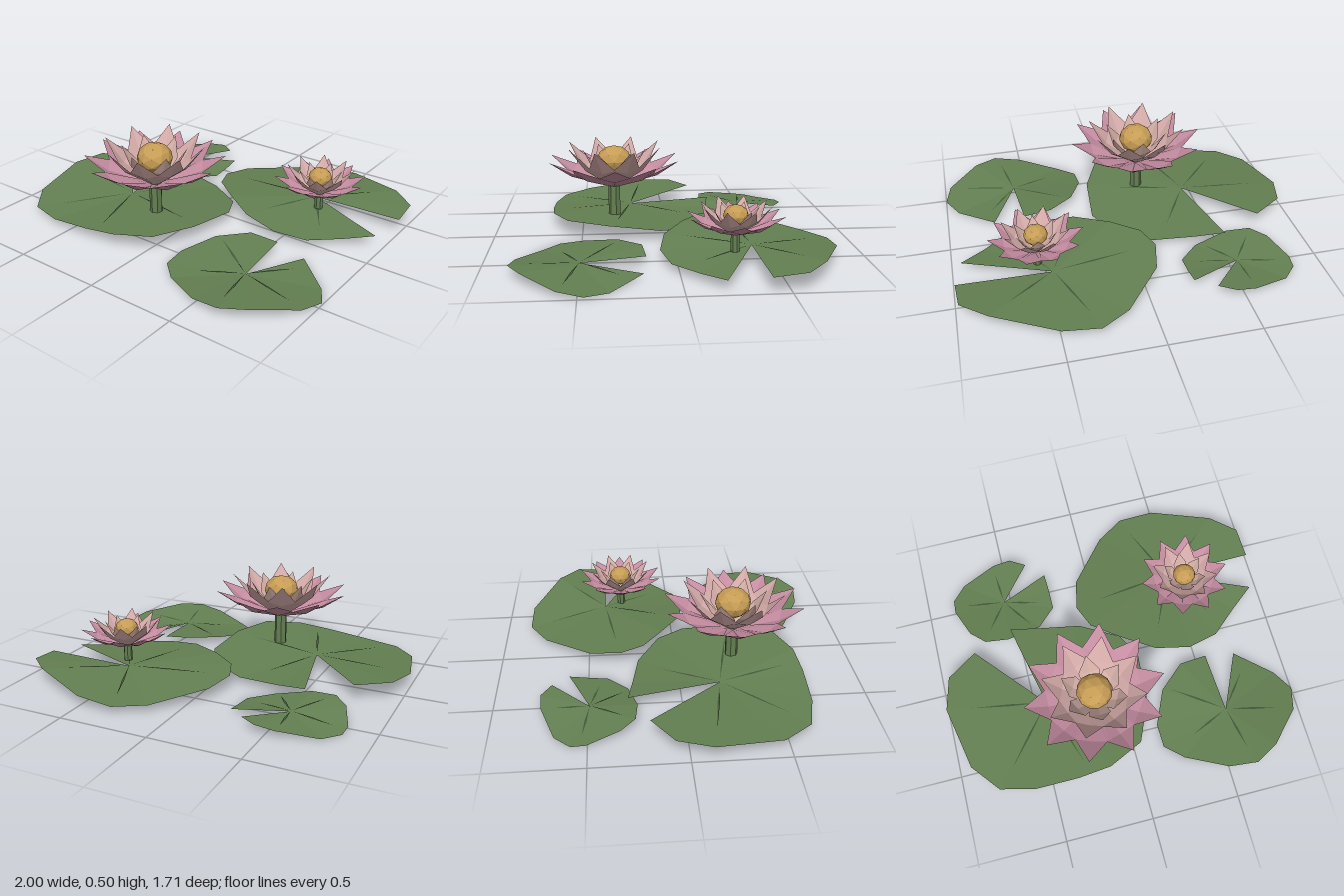
import * as THREE from 'three';

const mat = (name, color) => {
  const m = new THREE.MeshStandardMaterial({ color, flatShading: true, side: THREE.DoubleSide });
  m.name = name;
  return m;
};

function meshFrom(name, points, material) {
  const g = new THREE.BufferGeometry();
  g.setAttribute('position', new THREE.Float32BufferAttribute(points.flat(), 3));
  g.computeVertexNormals();
  const mesh = new THREE.Mesh(g, material);
  mesh.name = name;
  return mesh;
}

// Notched leaf: a fan around the centre whose rim dips and rises twice.
// rim: clockwise [x, z] points; high: angle of a raised side; veins: vein tips
function lilyPad(name, { centre, y, wave, high, rim, veins }, leaf, veinMat) {
  const group = new THREE.Group();
  group.name = name;
  const [cx, cz] = centre;
  const pts = rim.map(([px, pz]) => {
    const a = Math.atan2(pz - cz, px - cx);
    return [px, y + wave * Math.cos(2 * (a - THREE.MathUtils.degToRad(high))), pz];
  });
  const mid = [cx, y, cz];
  const tris = [];
  for (let i = 0; i < pts.length - 1; i++) tris.push(mid, pts[i + 1], pts[i]);
  group.add(meshFrom(name + 'Leaf', tris, leaf));

  // leaf height under a point
  const heightAt = (x, z) => {
    const dx = x - cx, dz = z - cz;
    for (let i = 0; i < pts.length - 1; i++) {
      const ax = pts[i][0] - cx, az = pts[i][2] - cz;
      const bx = pts[i + 1][0] - cx, bz = pts[i + 1][2] - cz;
      const det = ax * bz - az * bx;
      const s = (dx * bz - dz * bx) / det, t = (ax * dz - az * dx) / det;
      if (s >= -1e-6 && t >= -1e-6) return y + s * (pts[i][1] - y) + t * (pts[i + 1][1] - y);
    }
    return y;
  };

  // slender veins tapering at both ends
  const veinTris = [];
  for (const [tx, tz] of veins) {
    const dx = tx - cx, dz = tz - cz, len = Math.hypot(dx, dz);
    const at = (t, w) => {
      const x = cx + dx * t - (dz / len) * w, z = cz + dz * t + (dx / len) * w;
      return [x, heightAt(x, z) + 0.004, z];
    };
    const w = 0.006, a = at(0.04, 0), l = at(0.5, w), r = at(0.5, -w), e = at(1, 0);
    veinTris.push(a, l, r, l, e, r);
  }
  group.add(meshFrom(name + 'Veins', veinTris, veinMat));
  return group;
}

// Folded pointed petal reaching out along +x
function petalPoints({ r0, rm, ym, rt, yt, w, fold }) {
  const b = [r0, 0, 0], bl = [r0, 0.01, 0.03], br = [r0, 0.01, -0.03];
  const m = [rm, ym, 0], ml = [rm, ym + fold, w], mr = [rm, ym + fold, -w];
  const t = [rt, yt, 0];
  return [b, bl, m, bl, ml, m, b, m, br, br, m, mr, m, ml, t, m, t, mr];
}

function flower(name, mats) {
  const group = new THREE.Group();
  group.name = name;
  const rings = [
    { name: 'outerPetal', n: 10, turn: 0, m: mats.outer, r0: 0.02, rm: 0.26, ym: 0.08, rt: 0.39, yt: 0.17, w: 0.088, fold: 0.025 },
    { name: 'middlePetal', n: 8, turn: Math.PI / 8, m: mats.middle, r0: 0.02, rm: 0.18, ym: 0.11, rt: 0.285, yt: 0.25, w: 0.08, fold: 0.025 },
    { name: 'innerPetal', n: 6, turn: Math.PI / 6, m: mats.inner, r0: 0.015, rm: 0.125, ym: 0.11, rt: 0.185, yt: 0.225, w: 0.06, fold: 0.02 },
  ];
  for (const ring of rings) {
    for (let i = 0; i < ring.n; i++) {
      const p = meshFrom(ring.name, petalPoints(ring), ring.m);
      p.rotation.y = ring.turn + (i * 2 * Math.PI) / ring.n;
      group.add(p);
    }
  }
  const heart = new THREE.Mesh(new THREE.IcosahedronGeometry(0.1, 1), mats.gold);
  heart.name = 'flowerHeart';
  heart.scale.y = 0.85;
  heart.position.y = 0.16;
  group.add(heart);
  return group;
}

export function createModel() {
  const model = new THREE.Group();
  model.name = 'waterLilies';
  const leaf = mat('leafGreen', 0x648052);
  const vein = mat('veinGreen', 0x42593a);
  const stemMat = mat('stemGreen', 0x648052);
  const mats = {
    outer: mat('petalPink', 0xc48ca0),
    middle: mat('petalBlush', 0xd3aaa8),
    inner: mat('petalPale', 0xd3aea6),
    gold: mat('heartGold', 0xc79d55),
  };

  // Floating leaves
  const pads = {
    frontRightPad: {
      centre: [-0.43, 0.21], y: 0.07, wave: 0.03, high: 35,
      rim: [[-0.54, -0.29], [-0.37, -0.26], [-0.13, -0.22], [0.09, -0.09], [0.165, 0.06], [0.14, 0.35],
        [0.04, 0.58], [-0.16, 0.67], [-0.35, 0.685], [-0.6, 0.68], [-0.8, 0.63], [-0.93, 0.47],
        [-1, 0.115], [-0.95, -0.07], [-0.775, -0.185]],
      veins: [[-0.86, 0.14], [-0.71, 0.54], [-0.25, -0.1], [-0.3, 0.6], [0.02, 0.3]],
    },
    frontLeftPad: {
      centre: [0.58, 0.5], y: 0.033, wave: 0.03, high: 60,
      rim: [[0.73, 0.18], [0.93, 0.35], [1, 0.47], [0.965, 0.6], [0.79, 0.78], [0.66, 0.85], [0.5, 0.83],
        [0.27, 0.71], [0.17, 0.62], [0.165, 0.49], [0.25, 0.3], [0.395, 0.175], [0.555, 0.16]],
      veins: [[0.3, 0.31], [0.35, 0.6], [0.63, 0.76], [0.88, 0.57], [0.74, 0.3]],
    },
    backLeftPad: {
      centre: [0.47, -0.4], y: 0.07, wave: 0.03, high: -35,
      rim: [[0.95, -0.2], [0.81, -0.09], [0.66, 0.04], [0.48, 0.085], [0.28, 0.05], [0.085, -0.07],
        [-0.065, -0.185], [-0.12, -0.32], [-0.08, -0.495], [0.135, -0.755], [0.295, -0.855], [0.5, -0.85],
        [0.84, -0.7], [0.98, -0.58], [0.99, -0.405]],
      veins: [[0.33, -0.745], [0.74, -0.62], [0.02, -0.34], [0.325, -0.07], [0.65, -0.12]],
    },
    backRightPad: {
      centre: [-0.54, -0.49], y: 0.03, wave: 0.025, high: 120,
      rim: [[-0.26, -0.605], [-0.255, -0.505], [-0.255, -0.39], [-0.365, -0.285], [-0.565, -0.24], [-0.7, -0.255],
        [-0.78, -0.335], [-0.845, -0.505], [-0.84, -0.585], [-0.76, -0.67], [-0.555, -0.745], [-0.45, -0.75],
        [-0.36, -0.695]],
      veins: [[-0.555, -0.68], [-0.775, -0.53], [-0.66, -0.32], [-0.41, -0.31], [-0.34, -0.44]],
    },
  };
  for (const [name, spec] of Object.entries(pads)) model.add(lilyPad(name, spec, leaf, vein));

  // Blossoms on stems: x, z, base height, stem foot, scale, stem radius
  const blossoms = [
    ['largeFlower', -0.16, 0.31, 0.25, 0.045, 1, 0.036],
    ['smallFlower', 0.54, -0.3, 0.15, 0.04, 0.66, 0.024],
  ];
  for (const [name, x, z, y, foot, s, r] of blossoms) {
    const f = flower(name, mats);
    f.position.set(x, y, z);
    f.scale.setScalar(s);
    model.add(f);
    const h = y + 0.02 * s - foot;
    const stem = new THREE.Mesh(new THREE.CylinderGeometry(r, r, h, 7), stemMat);
    stem.name = name + 'Stem';
    stem.position.set(x, foot + h / 2, z);
    model.add(stem);
  }
  return model;
}
